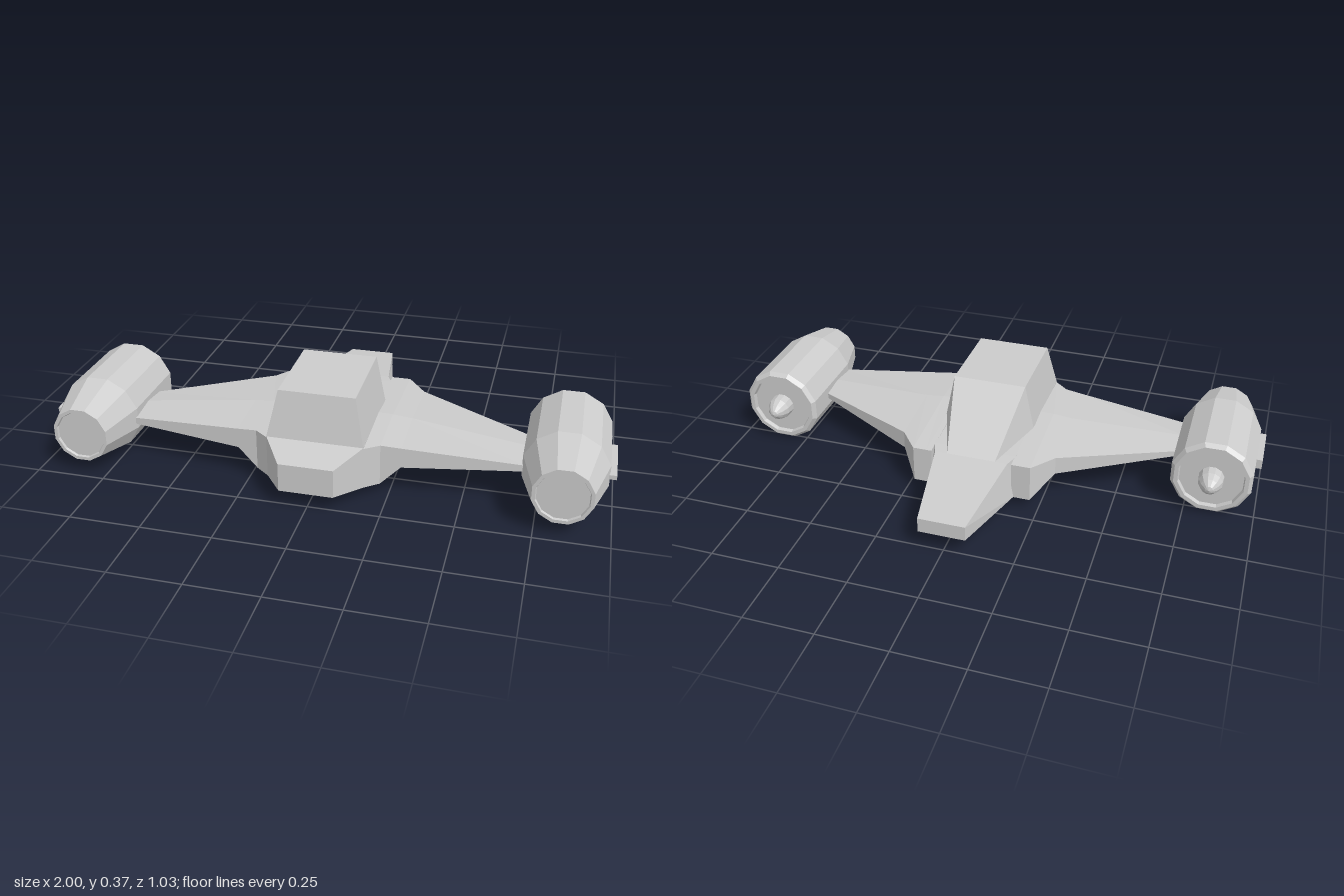
import * as THREE from 'three';
import { ConvexGeometry } from 'three/addons/geometries/ConvexGeometry.js';

const grey = new THREE.MeshStandardMaterial({ color: 0xcccccc, flatShading: true });

function part(name, geometry) {
  const mesh = new THREE.Mesh(geometry, grey);
  mesh.name = name;
  return mesh;
}

// Skin a list of equal-length rings (counter-clockwise about the loft direction) and cap both ends.
function loft(rings) {
  const n = rings[0].length, last = rings.length - 1, index = [];
  for (let i = 0; i < last; i++) {
    for (let j = 0; j < n; j++) {
      const a = i * n + j, b = i * n + (j + 1) % n;
      index.push(a, b, b + n, a, b + n, a + n);
    }
  }
  for (let j = 1; j < n - 1; j++) {
    index.push(0, j + 1, j, last * n, last * n + j, last * n + j + 1);
  }
  const g = new THREE.BufferGeometry();
  g.setAttribute('position', new THREE.Float32BufferAttribute(rings.flat(2), 3));
  g.setIndex(index);
  const flat = g.toNonIndexed();
  flat.computeVertexNormals();
  return flat;
}

const hull = (points) => new ConvexGeometry(points.map((p) => new THREE.Vector3(...p)));

// Twelve-sided body of revolution along z, with flats at top and sides.
function turned(profile) {
  const g = new THREE.LatheGeometry(profile.map((p) => new THREE.Vector2(...p)), 12, Math.PI / 12);
  g.rotateX(Math.PI / 2);
  const flat = g.toNonIndexed();
  flat.computeVertexNormals();
  return flat;
}

// Fuselage sections from tail to nose: z, then half width and height at keel, chine and deck.
function fuselage() {
  const sections = [
    [-0.517, 0.085, 0.075, 0.085, 0.076, 0.085, 0.13],
    [-0.19, 0.11, 0.04, 0.16, 0.041, 0.135, 0.18],
    [-0.14, 0.14, 0.01, 0.17, 0.04, 0.155, 0.184],
    [0.35, 0.14, 0.0, 0.17, 0.035, 0.17, 0.2],
    [0.4, 0.127, 0.018, 0.17, 0.04, 0.17, 0.195],
    [0.517, 0.093, 0.06, 0.095, 0.061, 0.095, 0.163],
  ];
  return loft(sections.map(([z, kw, ky, cw, cy, dw, dy]) => [
    [-kw, ky, z], [kw, ky, z], [cw, cy, z], [dw, dy, z], [-dw, dy, z], [-cw, cy, z],
  ]));
}

// Wing sections from root to tip: x, then [z, y] from front low edge round over the top to the belly.
function wing(side) {
  const sections = [
    [0.15, [0.4, 0.04], [0.4, 0.192], [0.15, 0.203], [-0.19, 0.18], [-0.19, 0.04], [0.15, 0.035]],
    [0.17, [0.4, 0.04], [0.4, 0.192], [0.15, 0.203], [-0.19, 0.18], [-0.19, 0.04], [0.15, 0.035]],
    [0.22, [0.36, 0.04], [0.36, 0.19], [0.15, 0.202], [-0.19, 0.18], [-0.19, 0.04], [0.15, 0.04]],
    [0.29, [0.353, 0.11], [0.353, 0.184], [0.15, 0.195], [-0.1, 0.178], [-0.1, 0.11], [0.15, 0.108]],
    [0.71, [0.31, 0.13], [0.31, 0.152], [0.2, 0.167], [0.11, 0.157], [0.11, 0.138], [0.2, 0.12]],
  ];
  return loft(sections.map(([x, ...ring]) => {
    const points = ring.map(([z, y]) => [x * side, y, z]);
    return side > 0 ? points.reverse() : points;
  }));
}

function engine(side) {
  const group = new THREE.Group();
  group.name = side > 0 ? 'leftEngine' : 'rightEngine';

  // Nacelle with a shallow intake in front and a shallow exhaust recess behind
  const nacelle = part('nacelle', turned([
    [0, -0.01], [0.116, -0.01], [0.12, -0.025], [0.135, -0.025], [0.148, -0.01],
    [0.148, 0.3], [0.102, 0.47], [0.09, 0.47], [0.087, 0.462], [0, 0.462],
  ]));
  const cone = part('exhaustCone', turned([
    [0, -0.094], [0.014, -0.089], [0.032, -0.07], [0.043, -0.045], [0.046, -0.005],
  ]));
  for (const mesh of [nacelle, cone]) {
    mesh.position.set(side * 0.835, 0.147, 0);
    group.add(mesh);
  }

  // Small fin plate on the outer flank
  const outline = [[0.314, 0.158], [0.12, 0.167], [0.12, 0.13], [0.23, 0.115], [0.314, 0.142]];
  group.add(part('sidePlate', hull(
    [0.96, 1].flatMap((x) => outline.map(([z, y]) => [side * x, y, z])))));
  return group;
}

export function createModel() {
  const model = new THREE.Group();
  model.name = 'spacecraft';
  model.add(part('fuselage', fuselage()));

  // Cabin with a raked front and a rear slope running down to the tail
  model.add(part('cabin', hull([-1, 1].flatMap((s) => [
    [s * 0.17, 0.195, 0.4], [s * 0.135, 0.36, 0.365], [s * 0.135, 0.367, 0.04],
    [s * 0.17, 0.198, 0.04], [s * 0.09, 0.181, -0.19],
  ]))));

  for (const side of [1, -1]) {
    model.add(part(side > 0 ? 'leftWing' : 'rightWing', wing(side)));
    model.add(engine(side));
  }
  return model;
}
